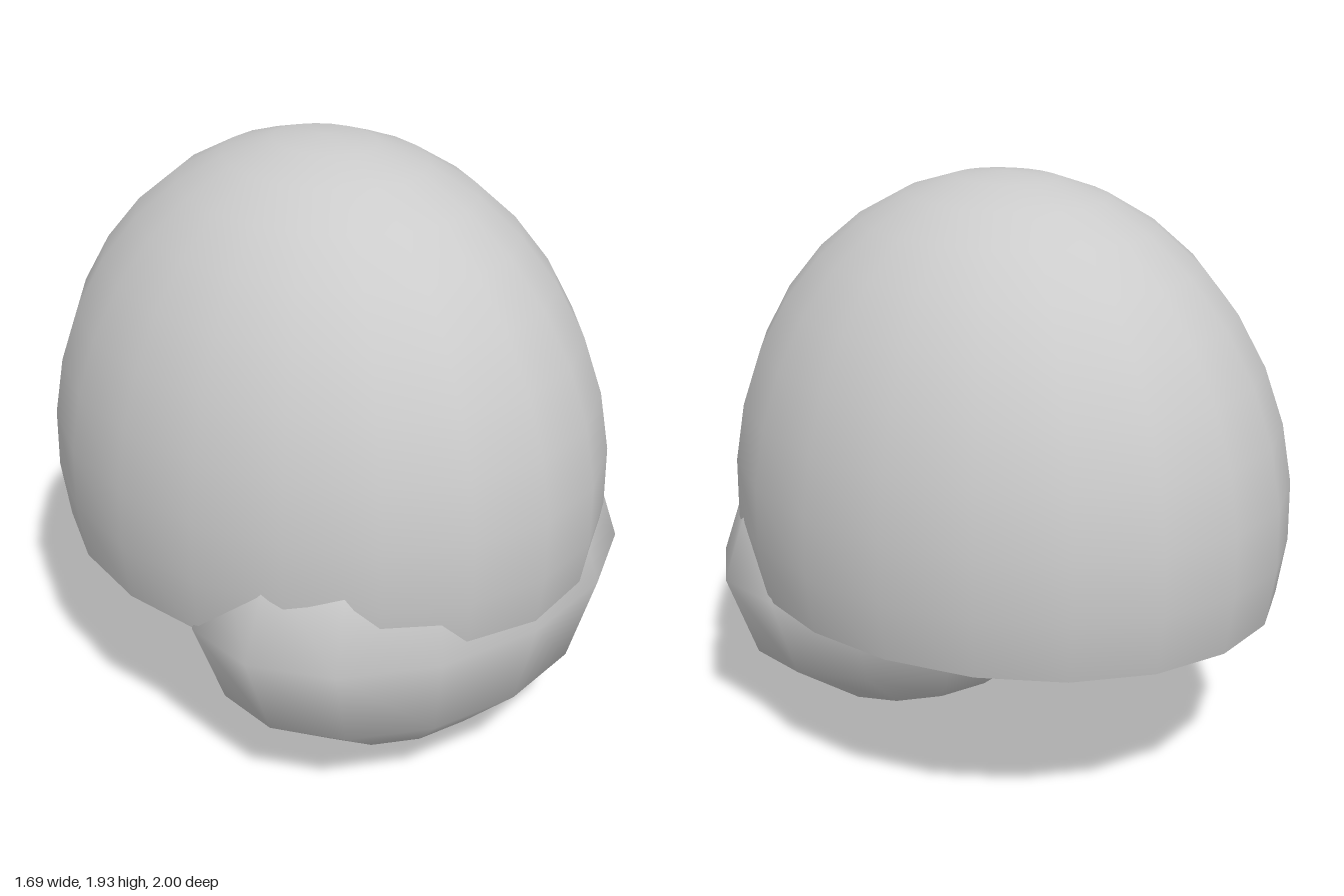
import * as THREE from 'three';

// Stretch a unit sphere into an ellipsoid, with normals that follow the stretch
function ellipsoid(sphere, [rx, ry, rz], [x, y, z]) {
  return sphere.scale(rx, ry, rz).translate(x, y, z);
}

export function createModel() {
  const model = new THREE.Group();
  model.name = 'helmet';

  const add = (name, geometry, side) => {
    const mesh = new THREE.Mesh(
      geometry,
      new THREE.MeshStandardMaterial({ color: 0xcccccc, side })
    );
    mesh.name = name;
    model.add(mesh);
  };

  // Open dome: a little more than half an ellipsoid, hollow underneath
  const cut = THREE.MathUtils.degToRad(105);
  add(
    'dome',
    ellipsoid(
      new THREE.SphereGeometry(1, 20, 10, 0, Math.PI * 2, 0, cut),
      [0.847, 1.07, 1.003],
      [0, 0.857, 0]
    ),
    THREE.DoubleSide
  );

  // Chin: a coarser full ellipsoid tucked into the front of the dome
  add(
    'chin',
    ellipsoid(
      new THREE.SphereGeometry(1, 14, 6, Math.PI / 2),
      [0.808, 0.58, 0.577],
      [0, 0.58, 0.405]
    ),
    THREE.FrontSide
  );

  return model;
}
